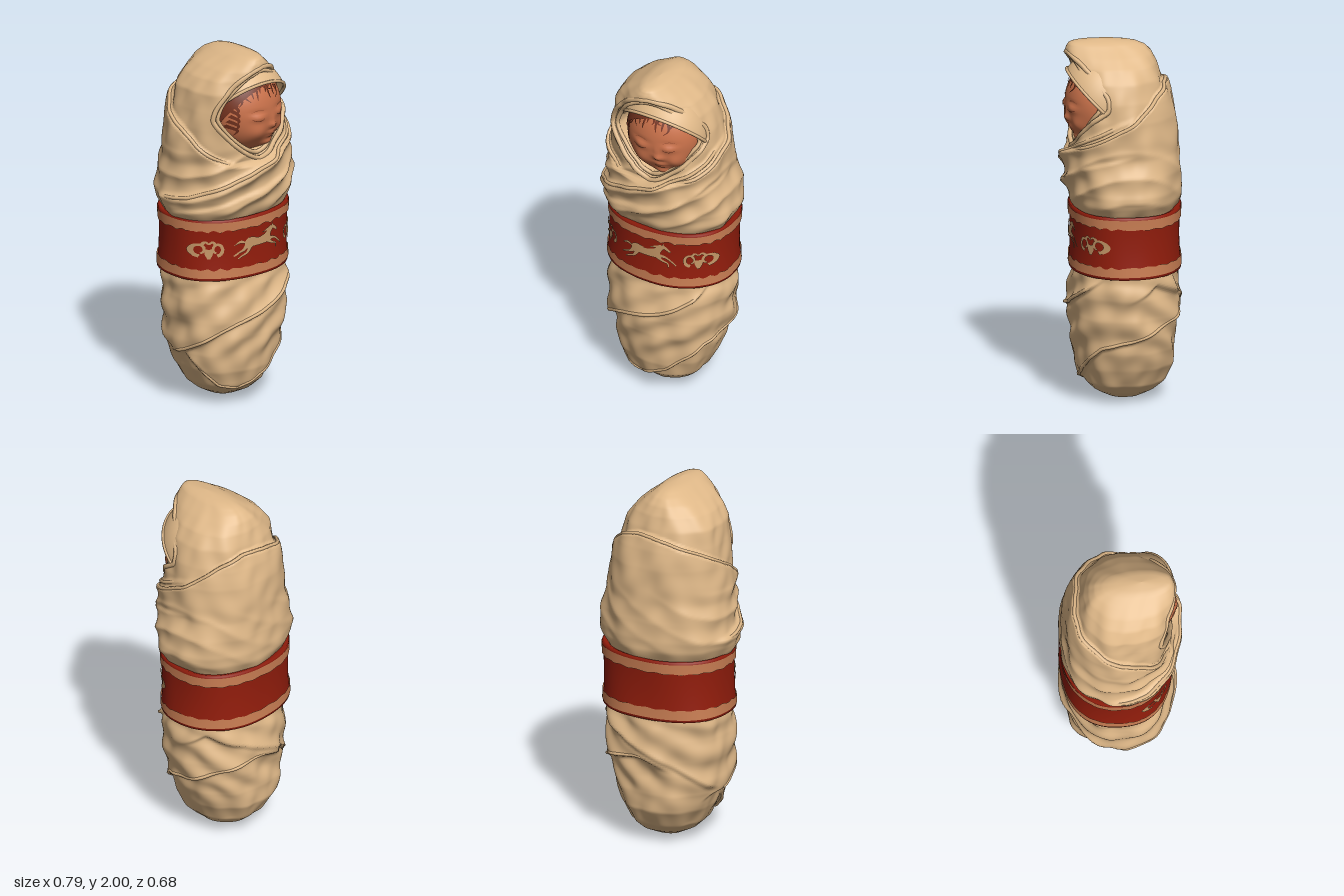
import * as THREE from 'three';

const mat = (name, color, side = THREE.FrontSide) => {
  const m = new THREE.MeshStandardMaterial({ color, side });
  m.name = name;
  return m;
};
const { sin, cos, abs, sign, min, max, exp, PI } = Math;
const step = (x, a, b) => THREE.MathUtils.smoothstep(x, a, b);
const N = 2.25; // roundness of the cross-sections

// Body cross-sections: y, right x, left x, front z, back z
const SECTIONS = [
  [0, -0.0004, 0.0004, -0.014, -0.015], [0.012, -0.085, 0.08, 0.065, -0.1], [0.05, -0.155, 0.15, 0.14, -0.175],
  [0.1, -0.21, 0.2, 0.195, -0.23], [0.2, -0.265, 0.245, 0.235, -0.285], [0.3, -0.3, 0.28, 0.252, -0.295],
  [0.4, -0.315, 0.305, 0.27, -0.292], [0.5, -0.335, 0.332, 0.275, -0.297], [0.62, -0.35, 0.345, 0.265, -0.292],
  [0.72, -0.345, 0.335, 0.25, -0.288], [1.08, -0.325, 0.32, 0.235, -0.275], [1.14, -0.345, 0.342, 0.25, -0.288],
  [1.2, -0.352, 0.352, 0.262, -0.294], [1.3, -0.336, 0.335, 0.272, -0.292], [1.4, -0.325, 0.31, 0.28, -0.28],
  [1.6, -0.315, 0.3, 0.29, -0.262], [1.7, -0.302, 0.278, 0.295, -0.245], [1.8, -0.282, 0.245, 0.3, -0.22],
  [1.87, -0.235, 0.2, 0.3, -0.195], [1.92, -0.178, 0.145, 0.3, -0.168], [1.955, -0.12, 0.1, 0.295, -0.135],
  [1.98, -0.08, 0.07, 0.282, -0.085], [1.992, -0.052, 0.045, 0.26, -0.03], [2, -0.0004, 0.0004, 0.121, 0.12],
];
function section(y) {
  let i = 1;
  while (i < SECTIONS.length - 1 && SECTIONS[i][0] < y) i++;
  const p = SECTIONS[i - 1], q = SECTIONS[i], t = (y - p[0]) / (q[0] - p[0]);
  const [l, r, f, b] = [1, 2, 3, 4].map(k => p[k] + (q[k] - p[k]) * t);
  return { cx: (l + r) / 2, rx: (r - l) / 2, cz: (f + b) / 2, rz: (f - b) / 2 };
}
const around = (s, a, y, d) => {
  const S = sin(a), C = cos(a);
  return new THREE.Vector3(s.cx + s.rx * sign(S) * abs(S) ** (2 / N) + d * S, y,
    s.cz + s.rz * sign(C) * abs(C) ** (2 / N) + d * C);
};
const angleAt = (s, x) => Math.asin(sign(x - s.cx) * min(0.999, abs((x - s.cx) / s.rx)) ** (N / 2));

// Wrapped cloth edges as [angle, height]; angle 0 is the front, side is where the thick layer lies
const FOLDS = [
  { side: -1, t: 0.017, p: [[-2.1, 1.17], [-1.2, 1.22], [-0.5, 1.3], [0, 1.37], [0.6, 1.46], [1.2, 1.54], [1.9, 1.64]] },
  { side: -1, t: 0.012, p: [[-1.7, 1.1], [-0.8, 1.15], [0, 1.23], [0.8, 1.34], [1.8, 1.42]], soft: true },
  { side: 1, t: 0.03, p: [[-2, 0.26], [-1.4, 0.33], [-0.6, 0.46], [0.2, 0.56], [0.8, 0.68], [1.2, 0.76]] },
  { side: 1, t: 0.023, p: [[-1.7, 0.36], [-1.2, 0.23], [-0.8, 0.12], [-0.3, 0.09], [0.35, 0.17], [1.1, 0.34], [1.6, 0.38], [2.4, 0.48], [3.1, 0.52], [3.7, 0.44]] },
  { side: 1, t: 0.018, p: [[1.5, 0.6], [2.1, 0.7], [2.8, 0.62], [3.5, 0.5], [4.3, 0.36], [4.8, 0.3]], soft: true },
];
function foldHeight(p, a) {
  let i = 1;
  while (i < p.length - 1 && p[i][0] < a) i++;
  const t = (a - p[i - 1][0]) / (p[i][0] - p[i - 1][0]);
  return p[i - 1][1] + (p[i][1] - p[i - 1][1]) * t;
}
function foldOffset({ side, t, p }, angle, y) {
  const a0 = p[0][0], a1 = p[p.length - 1][0];
  let sum = 0;
  for (const a of [angle, angle + 2 * PI, angle - 2 * PI]) {
    if (a < a0 || a > a1) continue;
    const d = side * (y - foldHeight(p, a));
    sum += t * step(a, a0, a0 + 0.5) * (1 - step(a, a1 - 0.5, a1)) * (d > 0 ? exp(-d / 0.13) : exp(-((d / 0.013) ** 2)));
  }
  return sum;
}
const shawlEdge = a => 1.585 - 0.185 * cos(a) + 0.012 * sin(3 * a);

// Outer cloth surface with layers and wrinkles
function cloth(a, y, extra = 0) {
  let d = 0.004 * sin(7 * a + 5 * y) + 0.004 * sin(3 * a - 13 * y) + 0.003 * sin(11 * a + 17 * y)
    + 0.003 * sin(9 * a - 29 * y + 2 * sin(4 * a)) * sin(5 * a + 11 * y);
  const slant = y - 0.2 * sin(a) + 0.02 * sin(2 * a + 1);
  d += 0.013 * (1 - 2 * abs(sin(slant * 23))) * step(y, 1.08, 1.2) * (1 - step(y, 1.38, 1.5)) * (0.6 + 0.4 * cos(a));
  d += 0.008 * sin((y - 0.25 * sin(a + 0.3)) * 34) * step(y, 0.2, 0.4) * (1 - step(y, 0.68, 0.75));
  d += 0.032 * step(shawlEdge(a) - y, -0.008, 0.014) * step(y, 1.0, 1.15);
  for (const f of FOLDS) d += foldOffset(f, a, y);
  return around(section(y), a, y, d * min(1, y / 0.12, (2 - y) / 0.15) + extra);
}
const clothFront = (x, y) => cloth(angleAt(section(y), x), y);

// Hood opening around the face
const HOLE = { x: 0.015, y: 1.66, w: 0.265, up: 0.275, down: 0.255 };
const holePower = v => (v < 0 ? 1.4 : 1.7);
function holeDistance(x, y) {
  const u = abs(x - HOLE.x) / HOLE.w, v = (y - HOLE.y) / (y > HOLE.y ? HOLE.up : HOLE.down), p = holePower(v);
  return (u ** p + abs(v) ** p) ** (1 / p);
}
function body(a, y) {
  const p = cloth(a, y);
  if (p.z > 0.05 && cos(a) > 0 && y > 1.35) {
    const d = holeDistance(p.x, y);
    p.z -= 0.035 * (1 - step(d, 0.94, 1));
    p.z += (min(p.z, 0.07) - p.z) * (1 - step(d, 0.8, 0.88));
  }
  return p;
}

// Closed loops of points joined into a skin
function loft(rows, cols, fn) {
  const pos = [], idx = [];
  for (let i = 0; i <= rows; i++)
    for (let j = 0; j < cols; j++) pos.push(...fn((j / cols) * 2 * PI - PI, i / rows, i).toArray());
  for (let i = 0; i < rows; i++)
    for (let j = 0; j < cols; j++) {
      const a = i * cols + j, b = i * cols + ((j + 1) % cols);
      idx.push(a, b, b + cols, a, b + cols, a + cols);
    }
  return surface(pos, idx);
}
function surface(pos, idx) {
  const g = new THREE.BufferGeometry();
  g.setAttribute('position', new THREE.Float32BufferAttribute(pos, 3));
  g.setIndex(idx);
  g.computeVertexNormals();
  return g;
}
// Thin strip along [x, y, halfWidth] points, laid on a surface by project(x, y)
function ribbon(points, project, n = 20) {
  const c = new THREE.CatmullRomCurve3(points.map(p => new THREE.Vector3(...p)));
  const pos = [], idx = [];
  for (let i = 0; i <= n; i++) {
    const p = c.getPoint(i / n), t = c.getTangent(i / n).setZ(0).normalize();
    for (const s of [1, -1]) pos.push(...project(p.x - t.y * p.z * s, p.y + t.x * p.z * s).toArray());
    if (i < n) idx.push(2 * i, 2 * i + 1, 2 * i + 3, 2 * i, 2 * i + 3, 2 * i + 2);
  }
  return surface(pos, idx);
}
const tube = (pts, r, closed = false) =>
  new THREE.TubeGeometry(new THREE.CatmullRomCurve3(pts, closed), pts.length * 2, r, 6, closed);
// Rolled hem along a height line, its ends sinking into the cloth
function hem(a0, a1, height, r) {
  const pts = [];
  for (let i = 0; i <= 60; i++) {
    const a = a0 + ((a1 - a0) * i) / 60;
    pts.push(cloth(a, height(a), -0.004 - 0.02 * (1 - step(min(i, 60 - i), 0, 6))));
  }
  return tube(pts, r);
}

// Head: an ellipsoid with soft bumps [x, y, width, height, depth]
const HEAD = new THREE.Vector3(0.03, 1.655, 0.125), HEAD_R = new THREE.Vector3(0.21, 0.232, 0.18);
const BUMPS = [
  [0.088, 1.588, 0.026, 0.018, 0.022], [0.085, 1.62, 0.014, 0.03, 0.01], [0.092, 1.542, 0.032, 0.01, 0.016],
  [0.092, 1.52, 0.028, 0.009, 0.015], [0.095, 1.472, 0.05, 0.026, 0.03], [-0.02, 1.555, 0.055, 0.05, 0.018],
  [0.175, 1.555, 0.04, 0.045, 0.022], [-0.02, 1.648, 0.038, 0.018, 0.012], [0.145, 1.65, 0.032, 0.018, 0.012],
  [-0.015, 1.68, 0.045, 0.01, -0.006], [0.145, 1.682, 0.036, 0.01, -0.006],
];
const bump = (x, y) => BUMPS.reduce((s, [bx, by, w, h, d]) => s + d * exp(-(((x - bx) / w) ** 2) - ((y - by) / h) ** 2), 0);
const faceFront = (x, y) => {
  const q = 1 - ((x - HEAD.x) / HEAD_R.x) ** 2 - ((y - HEAD.y) / HEAD_R.y) ** 2;
  return new THREE.Vector3(x, y, HEAD.z + HEAD_R.z * max(0, q) ** 0.5 + bump(x, y) + 0.004);
};

// Belt surface
const BELT = { cx: 0, rx: 0.357, cz: -0.022, rz: 0.293 };
const belt = (a, y, off) => around(BELT, a, y, off + 0.004 * ((y - 0.92) / 0.17) ** 2 + 0.002 * sin(5 * a + 9 * y));
const beltFront = (x, y) => belt(angleAt(BELT, x), y, 0.007);

export function createModel() {
  const root = new THREE.Group();
  const D = THREE.DoubleSide;
  const clothMat = mat('linen', 0xdfb888, D), skin = mat('skin', 0xc9714a), hairMat = mat('hair', 0x74331f, D);
  const red = mat('red cloth', 0x931d0c, D), trim = mat('trim', 0xcb7f54, D), motif = mat('motif', 0xc79868, D);
  const lips = mat('lips', 0xb05a3a, D);
  const add = (name, geo, m, parent = root) => {
    const mesh = new THREE.Mesh(geo, m);
    mesh.name = name;
    parent.add(mesh);
    return mesh;
  };

  // Swaddling cloth and its hems
  add('swaddling', loft(210, 168, (a, v) => body(a, 2 * (0.75 * v + 0.125 * (1 - cos(PI * v))))), clothMat);
  for (const f of FOLDS.filter(f => !f.soft))
    add('foldHem', hem(f.p[0][0] + 0.25, f.p[f.p.length - 1][0] - 0.25, a => foldHeight(f.p, a), 0.01), clothMat);
  add('shawlHem', hem(0.35, 2 * PI - 0.35, a => shawlEdge(a) - 0.006, 0.011), clothMat);

  // Rolled hood rims
  for (const [scale, back, r] of [[0.99, 0.008, 0.014], [0.88, 0.035, 0.012]]) {
    const pts = [];
    for (let i = 0; i < 72; i++) {
      const t = (i / 72) * 2 * PI, e = 2 / holePower(sin(t));
      const x = HOLE.x + scale * HOLE.w * sign(cos(t)) * abs(cos(t)) ** e;
      const y = HOLE.y + scale * (sin(t) > 0 ? HOLE.up : HOLE.down) * sign(sin(t)) * abs(sin(t)) ** e;
      const p = clothFront(x, y);
      p.z -= back;
      pts.push(p);
    }
    add('hoodRim', tube(pts, r, true), clothMat);
  }

  // Head and face
  const head = new THREE.Group();
  head.name = 'head';
  root.add(head);
  const skull = new THREE.SphereGeometry(1, 80, 64).scale(...HEAD_R.toArray()).translate(...HEAD.toArray());
  const sp = skull.attributes.position;
  for (let i = 0; i < sp.count; i++)
    if (sp.getZ(i) > HEAD.z) sp.setZ(i, sp.getZ(i) + bump(sp.getX(i), sp.getY(i)) * step(sp.getZ(i), HEAD.z, HEAD.z + 0.06));
  skull.computeVertexNormals();
  add('face', skull, skin, head);
  for (const [x, y, w] of [[-0.02, 1.641, 0.04], [0.145, 1.643, 0.032]]) {
    add('closedEye', ribbon([[x - w, y + 0.004, 0.001], [x, y - 0.008, 0.0025], [x + w, y + 0.004, 0.001]], faceFront), hairMat, head);
    add('brow', ribbon([[x - w, y + 0.04, 0.001], [x, y + 0.052, 0.002], [x + w, y + 0.042, 0.001]], faceFront), lips, head);
  }
  add('mouth', ribbon([[0.055, 1.526, 0.001], [0.092, 1.532, 0.004], [0.13, 1.526, 0.001]], faceFront), lips, head);

  // Hair and inner cap: tilted domes over the skull
  const capR = new THREE.Vector3(0.245, 0.272, 0.226), CAP_TILT = 0.7, CAP_ARC = 1.535;
  const dome = (lean, arc, r) => new THREE.SphereGeometry(1, 48, 28, 0, 2 * PI, 0, arc)
    .rotateX(-CAP_TILT).rotateZ(lean).scale(...r.toArray()).translate(...HEAD.toArray());
  add('hair', dome(0.3, 1.6, HEAD_R.clone().addScalar(0.007)), hairMat, head);
  for (let i = 0; i < 14; i++) {
    const x = -0.13 + i * 0.021, y = 1.82 - 1.9 * (x - 0.02) ** 2, l = 0.05 + 0.025 * sin(i * 2.3);
    add('hairLock', ribbon([[x, y, 0.007], [x + 0.012 * sin(i * 1.7), y - l * 0.6, 0.005],
      [x - 0.012 * cos(i), y - l, 0.001]], (u, v) => faceFront(u, v).add(new THREE.Vector3(0, 0, 0.003)), 8), hairMat, head);
  }
  for (let i = 0; i < 6; i++)
    add('sideLock', ribbon([[-0.135 - 0.006 * i, 1.76 - 0.03 * i, 0.01], [-0.12, 1.735 - 0.03 * i, 0.007],
      [-0.128, 1.705 - 0.03 * i, 0.001]], faceFront, 8), hairMat, head);
  add('cap', dome(0, CAP_ARC, capR), clothMat, head);
  const capEdge = [];
  for (let i = 0; i < 48; i++) {
    const t = (i / 48) * 2 * PI;
    capEdge.push(new THREE.Vector3(sin(t) * sin(CAP_ARC), cos(CAP_ARC), cos(t) * sin(CAP_ARC))
      .applyAxisAngle(new THREE.Vector3(1, 0, 0), -CAP_TILT).multiply(capR).add(HEAD));
  }
  add('capHem', tube(capEdge, 0.009, true), clothMat, head);

  // Belt with two trim bands
  const sash = new THREE.Group();
  sash.name = 'belt';
  root.add(sash);
  const PROFILE = [[0.76, -0.05], [0.742, -0.008], [0.745, 0.004], [0.765, 0.005], [0.83, 0], [0.92, 0], [1.01, 0],
    [1.07, 0.005], [1.088, 0.004], [1.092, -0.008], [1.07, -0.06]];
  add('beltCloth', loft(PROFILE.length - 1, 120, (a, v, i) => belt(a, PROFILE[i][0], PROFILE[i][1])), red, sash);
  for (const [y0, y1, inner] of [[0.76, 0.815, 1], [1.022, 1.078, 0]])
    add('beltTrim', loft(4, 240, (a, v) => {
      const worn = 0.009 * abs(sin(15 * a)) * step(cos(a), -0.2, 0.3) + 0.003 * sin(23 * a);
      const lo = y0 + (inner ? 0 : worn), hi = y1 - (inner ? worn : 0);
      return belt(a, lo + (hi - lo) * v, 0.008);
    }), trim, sash);

  // Running horse motif
  const HORSE = {
    body: [[-0.09, 0.935, 0.012], [-0.06, 0.945, 0.028], [0, 0.938, 0.022], [0.06, 0.945, 0.026], [0.085, 0.945, 0.01]],
    neck: [[0.055, 0.95, 0.024], [0.085, 0.982, 0.015], [0.105, 0.997, 0.011]],
    muzzle: [[0.095, 1.0, 0.012], [0.12, 0.985, 0.009], [0.14, 0.968, 0.006]],
    ear: [[0.098, 1.0, 0.005], [0.102, 1.022, 0.001]],
    mane: [[0.09, 1.005, 0.003], [0.06, 0.99, 0.006], [0.025, 0.98, 0.002]],
    tail: [[-0.085, 0.945, 0.005], [-0.115, 0.955, 0.008], [-0.15, 0.94, 0.002]],
    foreLeg: [[0.07, 0.935, 0.014], [0.115, 0.93, 0.007], [0.15, 0.905, 0.005], [0.17, 0.885, 0.004]],
    otherForeLeg: [[0.06, 0.93, 0.012], [0.1, 0.905, 0.007], [0.125, 0.895, 0.005], [0.13, 0.87, 0.004]],
    hindLeg: [[-0.07, 0.935, 0.018], [-0.1, 0.905, 0.008], [-0.125, 0.895, 0.006], [-0.155, 0.878, 0.004]],
    otherHindLeg: [[-0.055, 0.925, 0.015], [-0.075, 0.89, 0.008], [-0.11, 0.872, 0.005], [-0.13, 0.86, 0.004]],
  };
  for (const [name, pts] of Object.entries(HORSE)) add('horse_' + name, ribbon(pts, beltFront), motif, sash);

  // Mirrored curled-horn motifs at the sides
  for (const s of [-1, 1])
    for (const k of [-1, 1]) {
      const horn = [];
      for (let i = 0; i <= 12; i++) {
        const t = -1.6 + i * 0.5, r = 0.036 - 0.0012 * i;
        horn.push([s * (0.272 + k * (0.036 + r * cos(t) * 0.75)), 0.925 + r * sin(t), 0.0095 - 0.0004 * i]);
      }
      add('hornCurl', ribbon(horn, beltFront, 36), motif, sash);
      add('hornTip', ribbon([[s * (0.272 + k * 0.03), 0.95, 0.008], [s * (0.272 + k * 0.015), 0.968, 0.006],
        [s * 0.272, 0.955, 0.004]], beltFront), motif, sash);
      add('ramMuzzle', ribbon([[s * 0.272, 0.925, 0.016], [s * (0.272 + k * 0.004), 0.9, 0.012], [s * 0.272, 0.87, 0.005]], beltFront), motif, sash);
    }
  return root;
}
